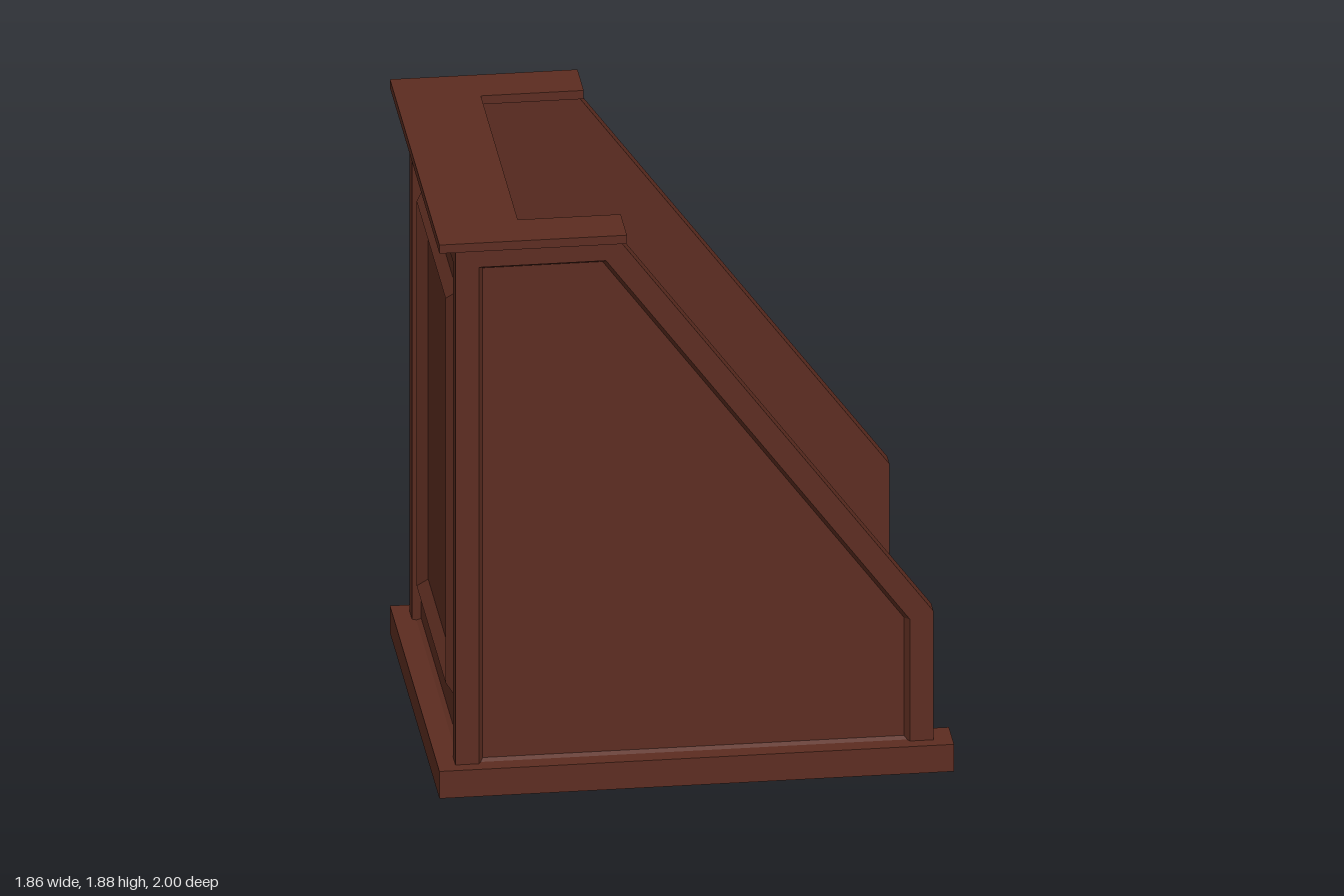
import * as THREE from 'three';

const W = 1.225, L = 1.6;            // plan width and depth
const BASE_H = 0.092, TOP_Y = 1.853; // plinth height, underside of the top
const RECESS = 0.027, BEVEL = 0.015; // panel recess depth and bevel width

const wood = new THREE.MeshStandardMaterial({ color: 0x5c2c20 });

const toShape = (pts) => new THREE.Shape(pts.map(([x, y]) => new THREE.Vector2(x, y)));
const rect = (x0, y0, x1, y1) => [[x0, y0], [x1, y0], [x1, y1], [x0, y1]];
const extrude = (shape, depth) => new THREE.ExtrudeGeometry(shape, { depth, bevelEnabled: false });

function addMesh(parent, name, geometry, z = 0) {
  const mesh = new THREE.Mesh(geometry, wood);
  mesh.name = name;
  mesh.position.z = z;
  parent.add(mesh);
  return mesh;
}

// Moves every edge of a counter-clockwise convex polygon inwards by d
function inset(pts, d) {
  const n = pts.length;
  const normal = (a, b) => {
    const l = Math.hypot(b[0] - a[0], b[1] - a[1]);
    return [-(b[1] - a[1]) / l, (b[0] - a[0]) / l];
  };
  return pts.map((p, i) => {
    const a = normal(pts[(i + n - 1) % n], p), b = normal(p, pts[(i + 1) % n]);
    const k = d / (1 + a[0] * b[0] + a[1] * b[1]);
    return [p[0] + (a[0] + b[0]) * k, p[1] + (a[1] + b[1]) * k];
  });
}

// Flat facets between successive loops, each { pts, z }, from outside to inside
function loft(loops) {
  const pos = [];
  for (let k = 0; k < loops.length - 1; k++) {
    const A = loops[k], B = loops[k + 1], n = A.pts.length;
    for (let i = 0; i < n; i++) {
      const j = (i + 1) % n;
      const a0 = [...A.pts[i], A.z], a1 = [...A.pts[j], A.z];
      const b0 = [...B.pts[i], B.z], b1 = [...B.pts[j], B.z];
      pos.push(...a0, ...a1, ...b1, ...a0, ...b1, ...b0);
    }
  }
  const g = new THREE.BufferGeometry();
  g.setAttribute('position', new THREE.Float32BufferAttribute(pos, 3));
  g.computeVertexNormals();
  return g;
}

// Slab with a bevelled recess; its face lies at z = 0, looking along +z
function framedPanel(name, outline, recess, thickness) {
  const group = new THREE.Group();
  group.name = name;
  addMesh(group, name + 'Board', extrude(toShape(outline), thickness - RECESS), -thickness);
  const frame = toShape(outline);
  frame.holes.push(new THREE.Path(recess.map(([x, y]) => new THREE.Vector2(x, y)).reverse()));
  addMesh(group, name + 'Frame', extrude(frame, RECESS), -RECESS);
  addMesh(group, name + 'Bevel', loft([
    { pts: recess, z: 0 }, { pts: inset(recess, BEVEL), z: -RECESS }]));
  return group;
}

// Horizontal U-shaped board, open at the back
function uBoard(parent, name, arm, front, length, height, y) {
  const h = W / 2, z = -L / 2;
  const shape = toShape([[-h, z], [h, z], [h, z + length], [h - arm, z + length],
    [h - arm, z + front], [arm - h, z + front], [arm - h, z + length], [-h, z + length]]);
  const mesh = addMesh(parent, name, extrude(shape, height));
  mesh.rotation.x = -Math.PI / 2;
  mesh.position.y = y;
}

export function createModel() {
  const model = new THREE.Group();
  model.name = 'lectern';
  const body = new THREE.Group();
  body.name = 'body';
  body.rotation.y = -Math.PI / 6;
  model.add(body);

  // Plinth and top
  uBoard(body, 'plinth', 0.127, 0.188, L, BASE_H, 0);
  uBoard(body, 'top', 0.155, 0.263, 0.583, 0.029, TOP_Y);

  // Side panels with a sloping back edge
  const low = 0.05, c = L / 2, sideT = 0.057, sideX = W / 2 - 0.041;
  const profile = [[0.055 - c, low], [1.541 - c, low], [1.541 - c, 0.53],
    [0.56 - c, TOP_Y], [0.055 - c, TOP_Y]];
  const sideRecess = inset(profile, 0.073).map(([x, y]) => [x, y < 0.2 ? 0.085 : y]);
  const flip = (pts) => pts.map(([x, y]) => [-x, y]).reverse();
  for (const side of [1, -1]) {
    const fit = (pts) => (side > 0 ? pts : flip(pts));
    const panel = framedPanel(side > 0 ? 'leftSide' : 'rightSide', fit(profile), fit(sideRecess), sideT);
    panel.rotation.y = side * Math.PI / 2;
    panel.position.x = side * sideX;
    body.add(panel);
  }

  // Front panel between the sides
  const fx = sideX - sideT, rx = sideX - 0.065;
  const front = framedPanel('frontPanel', rect(-fx, low, fx, TOP_Y), rect(-rx, 0.085, rx, 1.775), 0.1);
  front.position.z = c - 0.055;
  body.add(front);

  // Ridged moulding on the front panel
  const m = rect(-0.397, 0.235, 0.397, 1.62);
  addMesh(front, 'frontMoulding', loft([
    { pts: m, z: -RECESS },
    { pts: inset(m, 0.039), z: 0.004 },
    { pts: inset(m, 0.078), z: -RECESS }]));

  return model;
}
